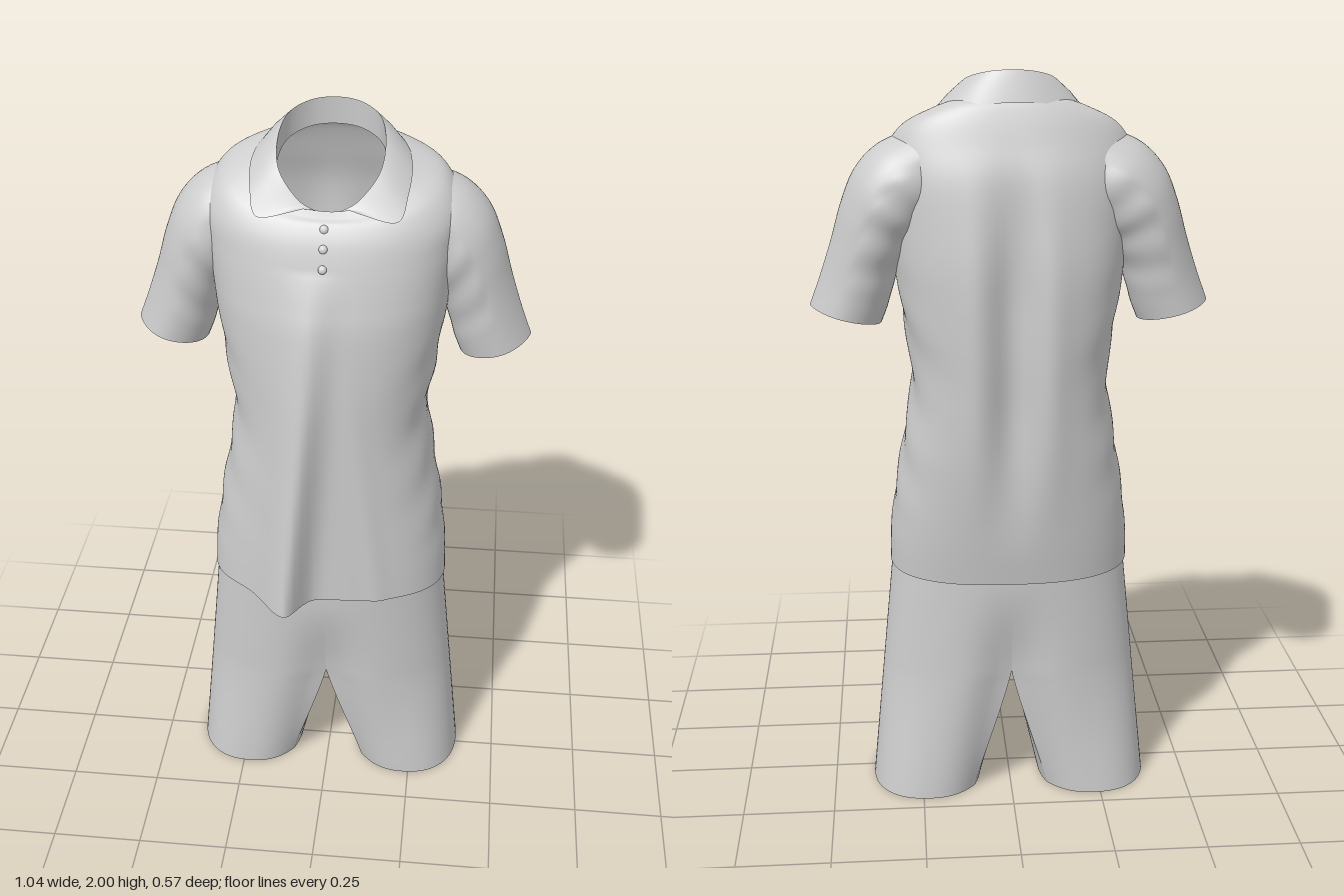
import * as THREE from 'three';

const { lerp, smoothstep } = THREE.MathUtils;
const fabric = new THREE.MeshStandardMaterial({ color: 0xcccccc, side: THREE.DoubleSide });
fabric.name = 'grey fabric';

// Catmull-Rom resampling of a short table of number rows
function resample(table, n) {
  const last = table.length - 1;
  const at = (i) => table[Math.max(0, Math.min(last, i))];
  return Array.from({ length: n + 1 }, (_, k) => {
    const f = (k / n) * last, i = Math.min(Math.floor(f), last - 1), t = f - i;
    return table[0].map((_, c) => {
      const [a, b, d, e] = [at(i - 1)[c], at(i)[c], at(i + 1)[c], at(i + 2)[c]];
      return 0.5 * (2 * b + (d - a) * t + (2 * a - 5 * b + 4 * d - e) * t * t + (3 * b - a - 3 * d + e) * t ** 3);
    });
  });
}

// Skin stretched over rows of [x, y, z] points
function skin(name, rows, closed) {
  const w = rows[0].length, index = [];
  for (let r = 0; r < rows.length - 1; r++) {
    for (let c = 0; c < (closed ? w : w - 1); c++) {
      const a = r * w + c, b = r * w + ((c + 1) % w);
      index.push(a, b, a + w, b, b + w, a + w);
    }
  }
  const g = new THREE.BufferGeometry();
  g.setAttribute('position', new THREE.Float32BufferAttribute(rows.flat(2), 3));
  g.setIndex(index);
  g.computeVertexNormals();
  const mesh = new THREE.Mesh(g, fabric);
  mesh.name = name;
  return mesh;
}

const power = (v, n) => Math.sign(v) * Math.abs(v) ** (2 / n);
const bell = (d, s) => Math.exp(-((d / s) ** 2));

// Shirt body: rings of height, half width, front z, back z, forward tilt, side lift
function shirtBody() {
  const rings = [
    [0.675, 0.328, 0.197, -0.222, -0.08, 0],
    [0.8, 0.321, 0.197, -0.242, -0.04, 0],
    [1.0, 0.29, 0.197, -0.268, 0, 0],
    [1.2, 0.26, 0.196, -0.282, 0, 0],
    [1.35, 0.277, 0.192, -0.285, 0, 0],
    [1.5, 0.298, 0.182, -0.281, 0, 0],
    [1.6, 0.308, 0.167, -0.268, 0.1, 0],
    [1.7, 0.318, 0.146, -0.248, 0.2, 0],
    [1.775, 0.318, 0.125, -0.218, 0.3, 0.005],
    [1.825, 0.282, 0.102, -0.197, 0.4, 0.018],
    [1.85, 0.21, 0.085, -0.18, 0.53, 0.026],
    [1.862, 0.145, 0.07, -0.163, 0.6, 0.035],
  ];
  const N = 144;
  const rows = resample(rings, 88).map(([yc, hw, zf, zb, tilt, lift]) => {
    const mid = (zf + zb) / 2, depth = (zf - zb) / 2;
    return Array.from({ length: N }, (_, i) => {
      const a = (i / N) * Math.PI * 2, s = Math.sin(a), c = Math.cos(a);
      const n = c > 0 ? 2.3 : 2.55;
      let x = hw * power(s, n);
      let z = mid + depth * power(c, n);
      const y = yc - tilt * (z - mid) + lift * s * s;
      const down = 1 - smoothstep(y, 0.7, 1.66);
      if (c > 0) {
        // One deep drape left of the placket and a shallow one beside it
        const drop = (1.66 - y) / 0.97, d = x + 0.02 + 0.08 * drop;
        const grow = Math.max(0, Math.min(1, drop)) ** 0.8;
        z += c * grow * 0.1 * bell(d, d < 0 ? 0.08 : 0.045);
        z += c * down * 0.008 * bell(x - 0.03 - 0.12 * drop, 0.03);
      } else {
        // Hollow along the spine between two long folds
        const k = smoothstep(y, 0.72, 1.2) * (1 - smoothstep(y, 1.4, 1.85));
        z += -c * k * (0.046 * bell(x, 0.055) - 0.008 * bell(Math.abs(x) - 0.1, 0.04));
      }
      // Slanted creases at the sides
      const side = Math.abs(s) ** 3 * smoothstep(y, 0.72, 0.95) * (1 - smoothstep(y, 1.35, 1.55));
      x += Math.sign(s) * side * 0.0035 * Math.sin(34 * y + 24 * Math.abs(z));
      return [x, y, z];
    });
  });
  return skin('shirtBody', rows, true);
}

// Sleeve: rings of outer x, outer y, inner x, inner y, half depth, centre z
function sleeve(side, name) {
  const rings = [
    [0.52, 1.405, 0.335, 1.358, 0.1, -0.085],
    [0.49, 1.485, 0.315, 1.41, 0.105, -0.085],
    [0.46, 1.575, 0.296, 1.48, 0.112, -0.087],
    [0.432, 1.67, 0.27, 1.54, 0.122, -0.088],
    [0.395, 1.755, 0.24, 1.58, 0.13, -0.089],
    [0.335, 1.816, 0.2, 1.62, 0.128, -0.09],
    [0.25, 1.853, 0.16, 1.66, 0.11, -0.09],
  ];
  const N = 56;
  const rows = resample(rings, 36).map(([ox, oy, ix, iy, hz, zc], r) =>
    Array.from({ length: N }, (_, i) => {
      const a = (i / N) * Math.PI * 2, c = Math.cos(a), s = Math.sin(a);
      const crease = 1 + (c < 0.3 ? 0.02 * Math.sin(r * 0.75 + a * 2) * smoothstep(r, 4, 12) : 0);
      const t = 0.5 + 0.5 * c * crease;
      // The outer edge narrows to a soft ridge near the hem
      const ridge = c > 0 ? lerp(1.45, 1, smoothstep(r, 0, 22)) : 1;
      return [side * lerp(ix, ox, t), lerp(iy, oy, t), zc + hz * crease * Math.sign(s) * Math.abs(s) ** ridge];
    }));
  return skin(name, rows, true);
}

// Collar: half outlines from front to back, mirrored
function collar() {
  const crest = [[0.03, 1.795, 0.074], [0.075, 1.822, 0.068], [0.122, 1.88, 0.035], [0.132, 1.935, -0.025],
    [0.115, 1.974, -0.095], [0.065, 1.994, -0.14], [0, 2, -0.153]];
  const edge = [[0.085, 1.797, 0.092], [0.172, 1.78, 0.09], [0.194, 1.833, 0.042], [0.198, 1.882, -0.03],
    [0.172, 1.909, -0.115], [0.1, 1.919, -0.17], [0, 1.922, -0.184]];
  const whole = (half) => resample(
    [...half, ...half.slice(0, -1).reverse().map(([x, y, z]) => [-x, y, z])], 96);
  const top = whole(crest), bottom = whole(edge);
  const stand = top.map(([x, y, z]) => [x * 1.04, y - 0.07 * smoothstep(y, 1.79, 1.9), z * 1.02]);
  const leaf = [0, 0.12, 0.5, 1].map((t) => top.map((p, i) => p.map((v, k) =>
    lerp(v, bottom[i][k], t) + (k === 1 ? 0.006 * Math.sin(t * Math.PI) : 0))));
  const group = new THREE.Group();
  group.name = 'collar';
  group.add(skin('collarStand', [stand, top], false), skin('collarLeaf', leaf, false));
  return group;
}

// One half of the shorts: an outer panel up to the waist and an inner thigh panel
function shortsLeg(side, name) {
  const crotch = 0.37, corner = 0.6;
  const section = (y) => {
    const inner = 0.085 * Math.max(0, 1 - y / crotch), outer = 0.39 - 0.1 * y;
    const zf = 0.15 + 0.054 * y, zb = -0.208;
    const k = 1 - smoothstep(y, -0.1, crotch);
    const pinch = 0.26 * (1 - smoothstep(y, crotch - 0.05, 0.66));
    return { inner, outer, zc: (zf + zb) / 2, b: (zf - zb) / 2, k, pinch };
  };
  const leg = ({ inner, outer, zc, b }, phi) => [
    (inner + outer) / 2 - ((outer - inner) / 2) * power(Math.cos(phi), 2.3),
    zc + b * power(Math.sin(phi), 2.3)];
  const blend = (q, x, z, phi, y) => {
    const [ex, ez] = leg(q, phi);
    return [side * lerp(x, ex, q.k), y, lerp(z, ez, q.k)];
  };
  const outerRow = (y) => {
    const q = section(y);
    return Array.from({ length: 65 }, (_, i) => {
      const u = i / 64, s = u * Math.PI;
      const x = i % 64 ? (q.outer - q.inner) * power(Math.sin(s), 2.3) : 0;
      const z = q.b * power(Math.cos(s), 2.3) * (1 - q.pinch * bell(x, 0.085));
      return blend(q, q.inner + x, q.zc + z, lerp(corner, 2 * Math.PI - corner, u), y);
    });
  };
  const innerRow = (y) => {
    const q = section(y);
    return Array.from({ length: 25 }, (_, i) => {
      const v = (i / 24) * 2 - 1;
      return blend(q, q.inner, q.zc + q.b * v * (1 - q.pinch), v * corner, y);
    });
  };
  const heights = (topY, n) => Array.from({ length: n + 1 }, (_, i) => lerp(0.004, topY, i / n));
  const group = new THREE.Group();
  group.name = name;
  group.add(
    skin('outerPanel', heights(0.74, 40).map(outerRow), false),
    skin('innerThigh', heights(crotch, 20).map(innerRow), false));
  return group;
}

export function createModel() {
  const model = new THREE.Group();
  model.name = 'sportsOutfit';
  model.add(shirtBody(), collar());
  for (const [side, label] of [[1, 'left'], [-1, 'right']]) {
    model.add(sleeve(side, label + 'Sleeve'), shortsLeg(side, label + 'ShortsLeg'));
  }
  // Placket buttons
  [[1.76, 0.104], [1.718, 0.127], [1.672, 0.145]].forEach(([y, z], i) => {
    const button = new THREE.Mesh(new THREE.SphereGeometry(0.011, 16, 10), fabric);
    button.name = 'button' + (i + 1);
    button.position.set(-0.005, y, z);
    button.rotation.x = -0.45;
    button.scale.z = 0.6;
    model.add(button);
  });
  return model;
}
